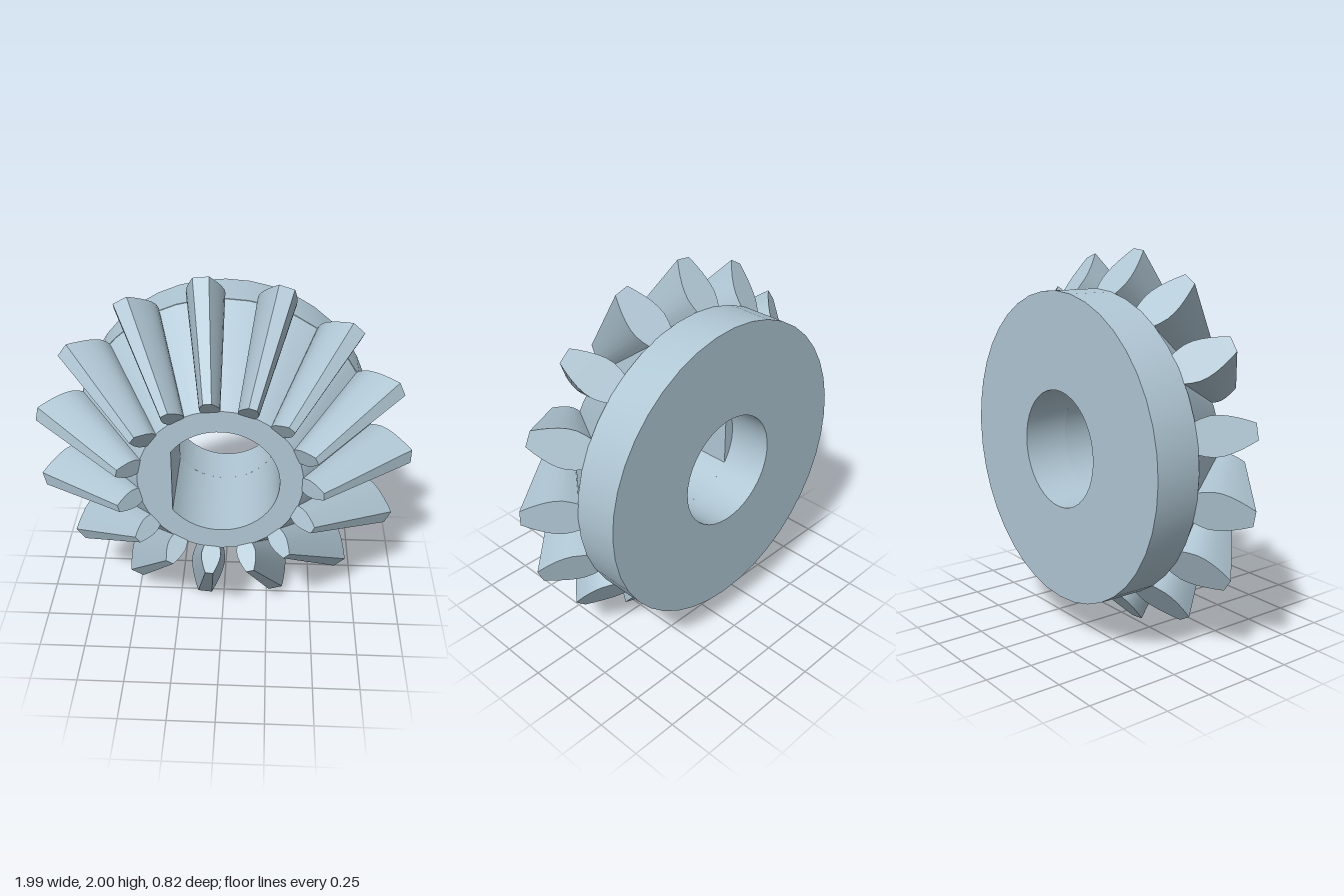
import * as THREE from 'three';
import { toCreasedNormals } from 'three/addons/utils/BufferGeometryUtils.js';

const TEETH = 15;
const BACK = -0.41, STEP = -0.165, FRONT = 0.311; // planes along the axle
const RIM = 0.803, ROOT = 0.8, NOSE = 0.425, BORE = 0.305, FLAT = 0.247;
const APEX = 0.833, SHRINK = 0.523; // teeth taper towards this point on the axle

// circular plate with a hole, extruded between two z planes
function plate(radius, hole, z0, z1) {
  const shape = new THREE.Shape();
  shape.absarc(0, 0, radius, 0, Math.PI * 2, false);
  shape.holes.push(hole);
  const g = new THREE.ExtrudeGeometry(shape, { depth: z1 - z0, bevelEnabled: false, curveSegments: 20 });
  return g.translate(0, 0, z0);
}

function roundHole() {
  return new THREE.Path().absarc(0, 0, BORE, 0, Math.PI * 2, true);
}

// bore with a flat on the -x side
function flattedHole() {
  const a = Math.PI - Math.acos(FLAT / BORE);
  const p = new THREE.Path().absarc(0, 0, BORE, a, -a, true);
  p.closePath();
  return p;
}

// cone body: a straight plate whose rear outer edge is widened
function coneGeometry() {
  const g = plate(NOSE, flattedHole(), STEP, FRONT);
  const p = g.attributes.position;
  for (let i = 0; i < p.count; i++) {
    const x = p.getX(i), y = p.getY(i);
    if (Math.hypot(x, y) > 0.37 && p.getZ(i) < 0) {
      p.setXY(i, x * ROOT / NOSE, y * ROOT / NOSE);
    }
  }
  return toCreasedNormals(g, 0.5);
}

// one tapered tooth pointing along +x
function toothGeometry() {
  // depth from tip to root, half width
  const profile = [[0, 0.04], [0.15, 0.059], [0.3, 0.075], [0.45, 0.088],
    [0.6, 0.096], [0.75, 0.097], [0.9, 0.088], [1.08, 0.07]];
  const at = ([t, w], side) => new THREE.Vector3(1.002 - 0.202 * t, side * w, 0.025 - 0.19 * t);
  const outer = [...profile.map(p => at(p, 1)), ...profile.slice().reverse().map(p => at(p, -1))];
  const inner = outer.map(v => new THREE.Vector3(v.x * SHRINK, v.y * SHRINK, APEX + (v.z - APEX) * SHRINK));
  const pos = [];
  const quad = (a, b, c, d) => [a, b, c, a, c, d].forEach(v => pos.push(v.x, v.y, v.z));
  const n = outer.length;
  for (let i = 0; i < n; i++) {
    const j = (i + 1) % n;
    quad(outer[i], outer[j], inner[j], inner[i]);
  }
  for (let i = 0; i < n / 2 - 1; i++) {
    quad(inner[i], inner[i + 1], inner[n - 2 - i], inner[n - 1 - i]);
    quad(outer[n - 1 - i], outer[n - 2 - i], outer[i + 1], outer[i]);
  }
  const g = new THREE.BufferGeometry();
  g.setAttribute('position', new THREE.Float32BufferAttribute(pos, 3));
  return toCreasedNormals(g, 0.5);
}

export function createModel() {
  const steel = new THREE.MeshStandardMaterial({ color: 0xb0c7d4 });
  steel.name = 'paleSteel';

  const gear = new THREE.Group();
  gear.name = 'bevelGear';
  gear.position.set(-0.007, 1, 0);

  const add = (name, geometry) => {
    const mesh = new THREE.Mesh(geometry, steel);
    mesh.name = name;
    gear.add(mesh);
    return mesh;
  };

  add('backDisc', toCreasedNormals(plate(RIM, roundHole(), BACK, STEP), 0.5));
  add('coneBody', coneGeometry());

  const tooth = toothGeometry();
  for (let i = 0; i < TEETH; i++) {
    add('tooth' + (i + 1), tooth).rotation.z = i * Math.PI * 2 / TEETH;
  }

  const model = new THREE.Group();
  model.name = 'model';
  model.add(gear);
  return model;
}
